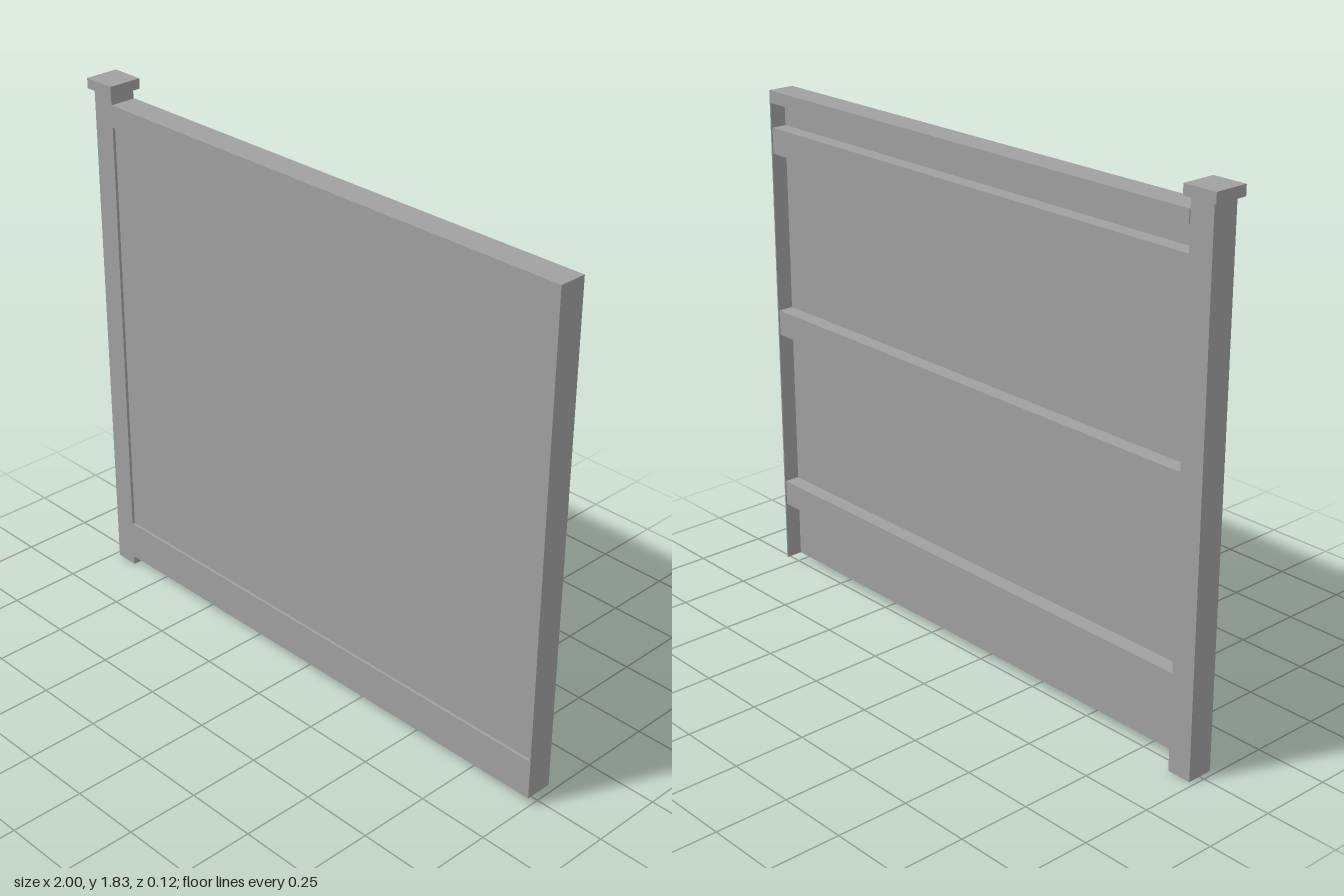
import * as THREE from 'three';

export function createModel() {
  const group = new THREE.Group();
  group.name = 'fencePanel';
  const grey = new THREE.MeshStandardMaterial({ color: 0xa0a0a0 });
  grey.name = 'grey';

  // Box given by its limits on each axis
  const box = (name, [x0, x1], [y0, y1], [z0, z1]) => {
    const mesh = new THREE.Mesh(new THREE.BoxGeometry(x1 - x0, y1 - y0, z1 - z0), grey);
    mesh.name = name;
    mesh.position.set((x0 + x1) / 2, (y0 + y1) / 2, (z0 + z1) / 2);
    group.add(mesh);
  };

  const span = [-0.897, 0.995];
  const bottom = 0.033, top = 1.763;
  const front = 0.046, back = -0.046;

  // Post with its cap
  box('post', [-0.982, -0.897], [0, 1.8], [back, front]);
  box('postCap', [-1, -0.88], [1.798, 1.833], [-0.06, 0.06]);

  // Recessed board and the front trim, flush with the post
  box('board', span, [bottom, top], [0.008, 0.036]);
  box('bottomTrim', span, [bottom, 0.172], [0.03, front]);
  box('topTrim', span, [1.686, top], [0.03, front]);

  // Top rail and thin end plate
  box('topRail', span, [1.72, top], [-0.05, front]);
  box('endPlate', [0.995, 1], [bottom, top], [-0.05, front]);

  // Three rails across the back
  for (let i = 0; i < 3; i++) {
    const y = 0.245 + i * 0.65;
    box('backRail', span, [y, y + 0.09], [back, 0.01]);
  }
  return group;
}
